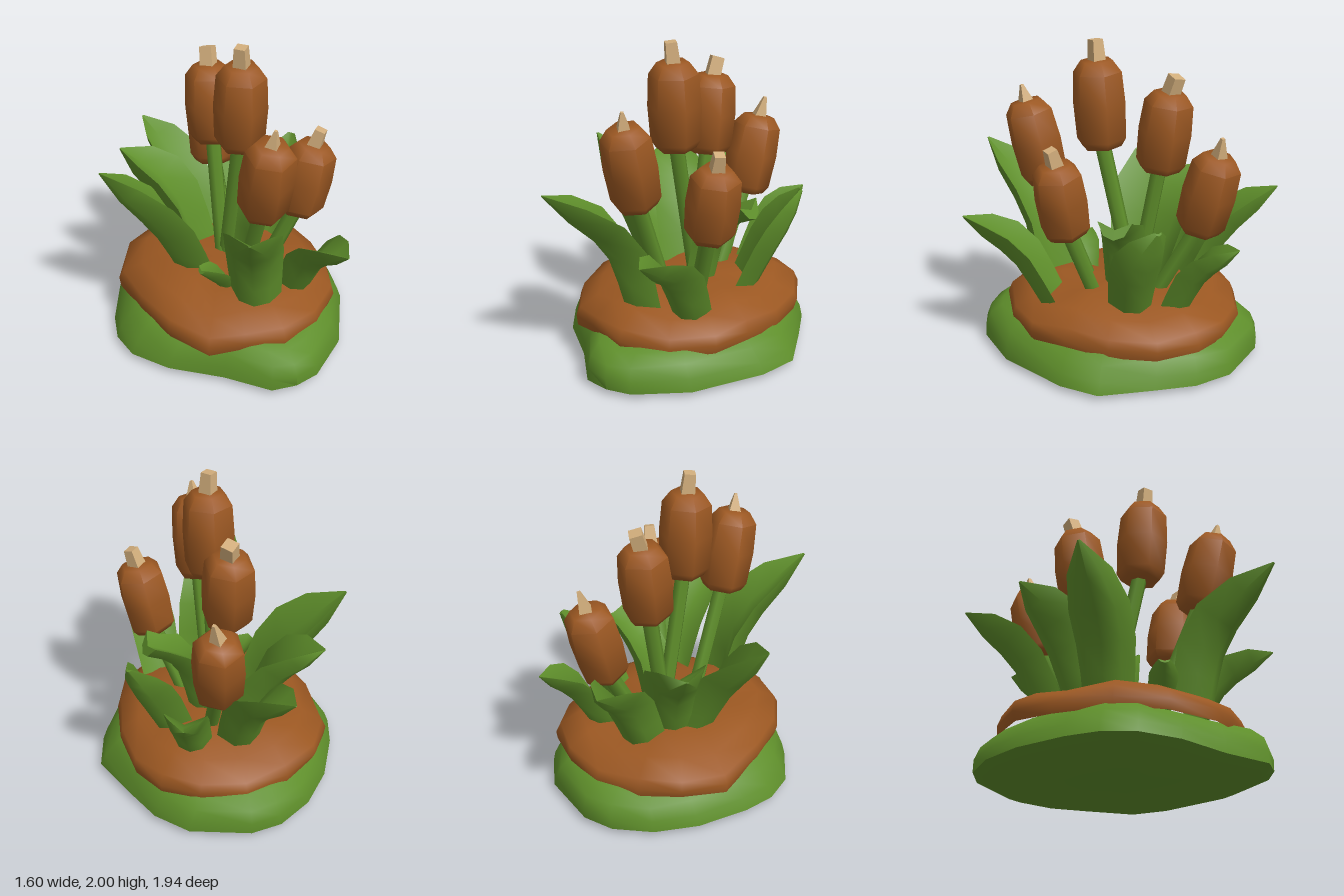
import * as THREE from 'three';
import { toCreasedNormals } from 'three/addons/utils/BufferGeometryUtils.js';

const mat = (name, color) => {
  const m = new THREE.MeshStandardMaterial({ color });
  m.name = name;
  return m;
};
const V = (p) => new THREE.Vector3(...p);

// Skin a list of equal-length rings (counter-clockwise seen from the last ring).
function loft(rings, crease) {
  const n = rings[0].length, pos = [], idx = [];
  rings.forEach((r) => r.forEach((p) => pos.push(p.x, p.y, p.z)));
  for (let r = 0; r < rings.length - 1; r++) {
    for (let i = 0; i < n; i++) {
      const a = r * n + i, b = r * n + ((i + 1) % n);
      idx.push(a, b, a + n, b, b + n, a + n);
    }
  }
  const g = new THREE.BufferGeometry();
  g.setAttribute('position', new THREE.Float32BufferAttribute(pos, 3));
  g.setIndex(idx);
  return toCreasedNormals(g, crease);
}

// Irregular mound: an outline scaled through [height, x scale, z scale, waviness] steps.
function mound(outline, steps) {
  return loft(steps.map(([y, sx, sz, wave]) => outline.map(([x, z], i) => {
    const k = 1 + wave * 0.6 * Math.sin(i * 2.3 + y * 20);
    return new THREE.Vector3(x * sx * k, y + wave * Math.sin(i * 1.9 + 1), z * sz * k);
  })), 1.15);
}

// Thick cupped blade swept along a curve through base, middle and tip.
function leafGeometry({ pts, w, roll = 0, blunt = 0.04 }) {
  const curve = new THREE.CatmullRomCurve3(pts.map(V));
  const up = new THREE.Vector3(0, 1, 0);
  const out = V(pts[2]).sub(V(pts[0])).setY(0).normalize();
  const side0 = new THREE.Vector3().crossVectors(up, out);
  const profile = [[0, 0.88], [0.2, 0.94], [0.4, 1], [0.6, 0.98], [0.8, 0.72], [1, blunt]];
  const rings = profile.map(([t, k]) => {
    const p = curve.getPoint(t), T = curve.getTangent(t);
    const S = side0.clone().applyAxisAngle(T, roll);
    const N = new THREE.Vector3().crossVectors(T, S).normalize();
    const h = (w / 2) * k;
    const at = (s, n) => p.clone().addScaledVector(S, s * h).addScaledVector(N, n * h);
    return [at(1, 0.5), at(0, 0.05), at(-1, 0.5), at(-0.6, -0.3), at(0, -0.55), at(0.6, -0.3)];
  });
  rings.push(rings[rings.length - 1].map(() => V(pts[2])));
  return loft(rings, 1.1);
}

export function createModel() {
  const model = new THREE.Group();
  model.name = 'reedPlant';
  const green = mat('leafGreen', 0x5f8f2b);
  const brown = mat('earthBrown', 0x9c5822);
  const cream = mat('paleTip', 0xd2ae7c);
  const add = (name, geo, material, parent = model) => {
    const m = new THREE.Mesh(geo, material);
    m.name = name;
    parent.add(m);
    return m;
  };

  // Grassy foot and the soil on top of it
  const grass = [[-0.79, 0], [-0.76, 0.2], [-0.6, 0.42], [-0.32, 0.64], [-0.1, 0.87], [0.06, 0.89], [0.22, 0.85],
    [0.5, 0.62], [0.74, 0.2], [0.8, -0.05], [0.66, -0.37], [0.55, -0.6], [0.37, -0.78], [0, -0.89],
    [-0.2, -0.86], [-0.42, -0.72], [-0.6, -0.5], [-0.74, -0.2]];
  add('grassBase', mound(grass, [[0, 0, 0, 0], [0, 0.9, 0.9, 0], [0.035, 1, 1, 0], [0.11, 0.96, 1, 0.006],
    [0.19, 0.88, 0.97, 0.01], [0.25, 0.8, 0.88, 0.01], [0.28, 0.7, 0.72, 0.01], [0.28, 0, 0, 0]]), green);
  const soil = [[-0.64, 0.05], [-0.56, 0.35], [-0.4, 0.6], [-0.2, 0.67], [0.05, 0.73], [0.33, 0.62], [0.54, 0.43],
    [0.62, 0.2], [0.66, -0.08], [0.62, -0.37], [0.5, -0.6], [0.28, -0.72], [0, -0.76], [-0.28, -0.7],
    [-0.5, -0.55], [-0.65, -0.3]];
  add('soil', mound(soil, [[0.22, 0.99, 0.99, 0.02], [0.28, 1.01, 1.01, 0.012], [0.34, 0.98, 0.98, 0.02],
    [0.415, 0.8, 0.8, 0.025], [0.46, 0.55, 0.5, 0.015], [0.45, 0, 0, 0]]), brown);

  // Leaves fanning out around the clump
  const leaves = [
    { pts: [[-0.23, 0.4, -0.07], [-0.43, 0.82, -0.06], [-0.8, 1.2, -0.13]], w: 0.38, roll: 0.15 },
    { pts: [[-0.02, 0.4, 0.45], [-0.1, 0.86, 0.57], [-0.31, 1.22, 0.97]], w: 0.36 },
    { pts: [[0.3, 0.4, 0.38], [0.33, 0.74, 0.58], [0.35, 0.92, 0.92]], w: 0.3 },
    { pts: [[-0.06, 0.4, -0.42], [-0.09, 0.82, -0.63], [-0.22, 1.07, -0.96]], w: 0.33 },
    { pts: [[0.26, 0.4, -0.42], [0.34, 0.72, -0.58], [0.4, 0.88, -0.81]], w: 0.27 },
    { pts: [[0.35, 0.4, -0.17], [0.49, 0.75, -0.24], [0.63, 1.04, -0.37]], w: 0.33, blunt: 0.15 },
    { pts: [[0.12, 0.4, -0.05], [0.23, 0.82, -0.06], [0.46, 0.96, -0.07]], w: 0.28, blunt: 0.75 },
    { pts: [[-0.14, 0.4, -0.2], [-0.28, 0.86, -0.34], [-0.53, 1.1, -0.54]], w: 0.38 },
    { pts: [[-0.1, 0.4, 0.25], [-0.2, 0.54, 0.28], [-0.32, 0.62, 0.3]], w: 0.18, blunt: 0.4 },
  ];
  leaves.forEach((l) => add('leaf', leafGeometry(l), green));

  // Reeds: straight stem, six-sided seed head, pale chipped tip
  const reeds = [
    { root: [0.02, 0.4, -0.1], low: [0.02, 1.33, 0.11], high: [0.02, 1.88, 0.14], tip: [0.01, 2, 0.15], r: 0.048 },
    { root: [0, 0.4, -0.1], low: [0, 1.2, -0.25], high: [0, 1.7, -0.31], tip: [0.01, 1.8, -0.35], r: 0.055 },
    { root: [0, 0.4, 0.2], low: [0, 1.07, 0.48], high: [0, 1.59, 0.6], tip: [0.01, 1.69, 0.62], r: 0.012 },
    { root: [0.19, 0.4, 0.12], low: [0.36, 0.87, 0.25], high: [0.44, 1.34, 0.29], tip: [0.47, 1.44, 0.31], r: 0.045 },
    { root: [0.1, 0.4, -0.25], low: [0.12, 0.87, -0.52], high: [0.15, 1.37, -0.64], tip: [0.18, 1.49, -0.66], r: 0.014 },
  ];
  const Y = new THREE.Vector3(0, 1, 0);
  reeds.forEach(({ root, low, high, tip, r }) => {
    const reed = new THREE.Group();
    reed.name = 'reed';
    model.add(reed);
    const a = V(low), b = V(high), c = V(tip), axis = b.clone().sub(a), len = axis.length();
    axis.normalize();

    const stem = new THREE.LineCurve3(V(root), a.clone().addScaledVector(axis, 0.05));
    add('stem', new THREE.TubeGeometry(stem, 1, 0.05, 6), green, reed);

    const profile = [[0, 0], [0.125, 0.01], [0.155, 0.1], [0.165, 0.5], [0.152, 0.86], [0.1, 0.99], [0, 1]]
      .map(([x, y]) => new THREE.Vector2(x, y * len));
    const head = add('seedHead', toCreasedNormals(new THREE.LatheGeometry(profile, 6), 1.1), brown, reed);
    head.position.copy(a);
    head.quaternion.setFromUnitVectors(Y, axis);

    const start = b.clone().addScaledVector(axis, -0.03), dir = c.clone().sub(start);
    const tipMesh = add('tip', toCreasedNormals(new THREE.CylinderGeometry(r, 0.06, dir.length(), 4), 0.6), cream, reed);
    tipMesh.position.copy(start).addScaledVector(dir, 0.5);
    tipMesh.quaternion.setFromUnitVectors(Y, dir.normalize());
  });

  return model;
}
